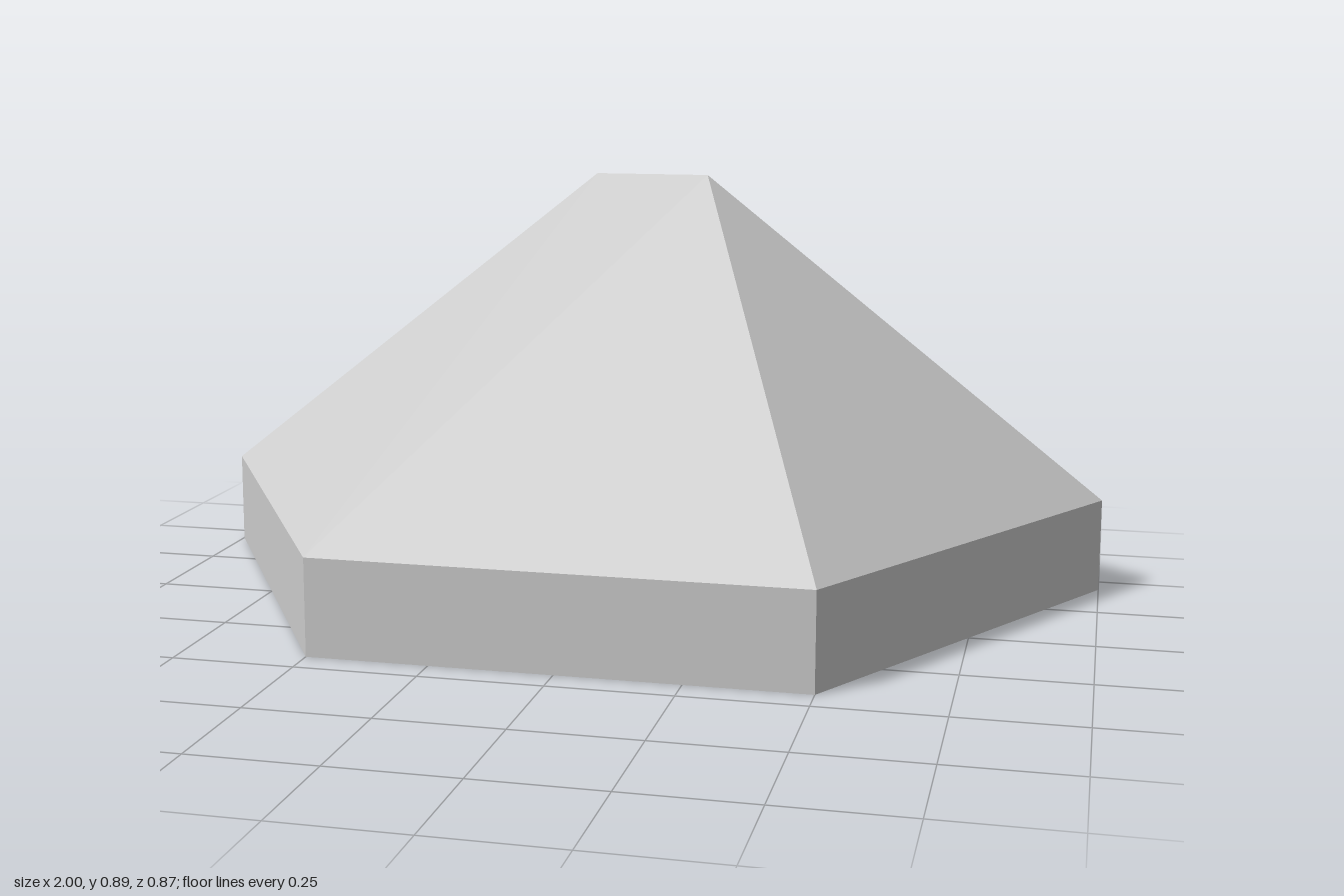
import * as THREE from 'three';

const Z = 0.433;

// Half-hexagon outline: back left, front left, front right, back right
const outline = [[1, -Z], [0.5, Z], [-0.5, Z], [-1, -Z]];
const ring = (y) => outline.map(([x, z]) => new THREE.Vector3(x, y, z));

// Walls between two rings of corners; collapsed triangles are dropped
function loft(lower, upper, closeBottom) {
  const points = [];
  const addTriangle = (a, b, c) => {
    if (new THREE.Triangle(a, b, c).getArea() > 1e-6) points.push(a, b, c);
  };
  lower.forEach((a, i) => {
    const j = (i + 1) % lower.length;
    addTriangle(a, upper[i], lower[j]);
    addTriangle(lower[j], upper[i], upper[j]);
  });
  if (closeBottom) {
    for (let i = 1; i < lower.length - 1; i++) addTriangle(lower[0], lower[i], lower[i + 1]);
  }
  const geometry = new THREE.BufferGeometry().setFromPoints(points);
  geometry.computeVertexNormals();
  return geometry;
}

export function createModel() {
  const group = new THREE.Group();
  group.name = 'halfHexagonRoof';
  const material = new THREE.MeshStandardMaterial({ color: 0xcccccc, flatShading: true });
  const add = (name, geometry) => {
    const mesh = new THREE.Mesh(geometry, material);
    mesh.name = name;
    group.add(mesh);
  };

  // Upright plinth with a closed underside
  const eaves = ring(0.2);
  add('base', loft(ring(0), eaves, true));

  // Sloped roof rising to a short ridge on the flat back wall
  const ridge = outline.map(([x]) => new THREE.Vector3(Math.sign(x) * 0.125, 0.888, -0.432));
  add('roof', loft(eaves, ridge, false));

  return group;
}
